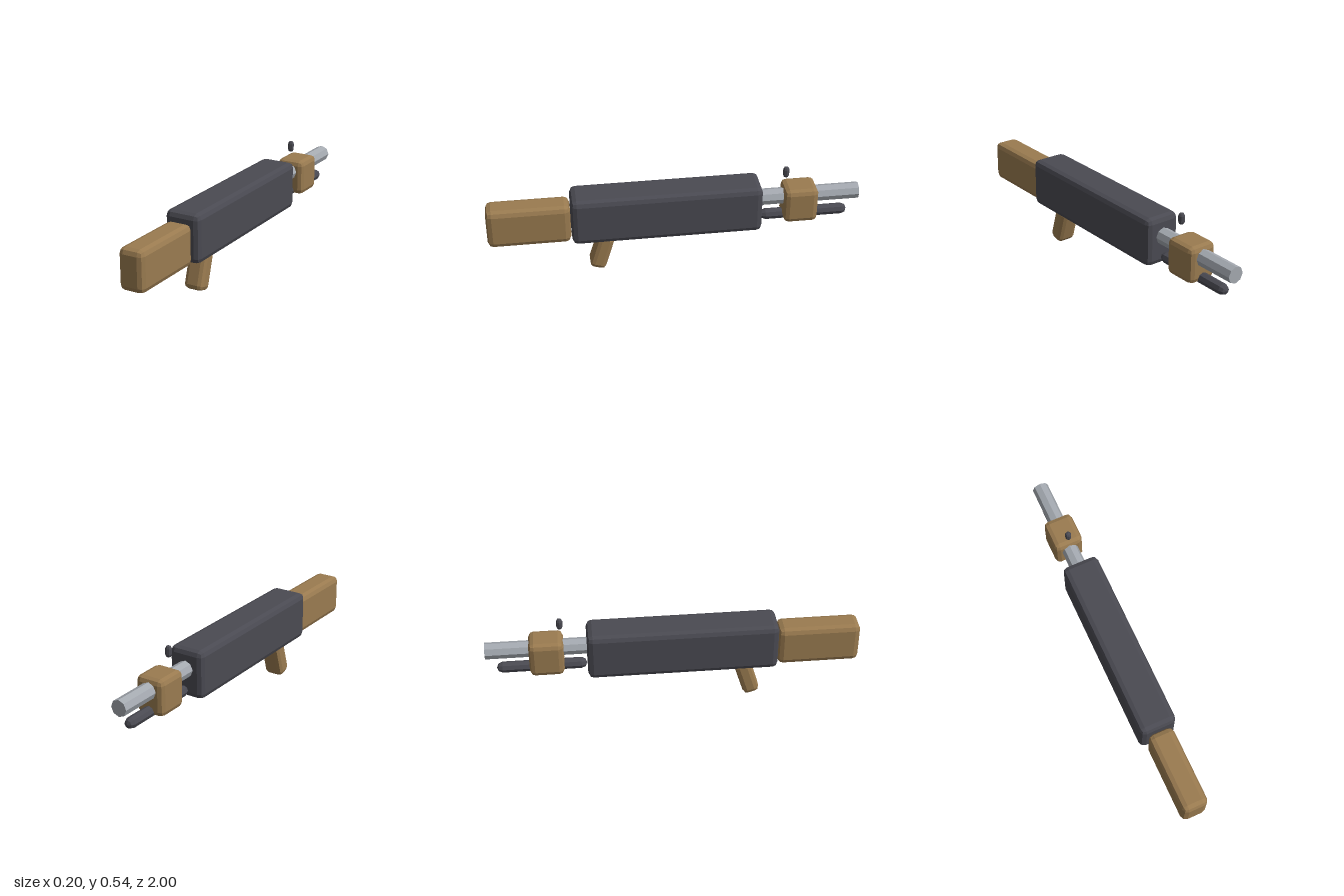
import * as THREE from 'three';
import { RoundedBoxGeometry } from 'three/addons/geometries/RoundedBoxGeometry.js';

const material = (color) => new THREE.MeshStandardMaterial({ color, flatShading: true });

export function createModel() {
  const model = new THREE.Group();
  const dark = material(0x4a4a52);
  const wood = material(0x9a7b50);
  const metal = material(0xa4a9b0);

  const add = (name, geometry, mat, y, z) => {
    const mesh = new THREE.Mesh(geometry, mat);
    mesh.name = name;
    mesh.position.set(0, y, z);
    model.add(mesh);
    return mesh;
  };
  // Box with two-facet bevels on every edge
  const block = (w, h, d, r) => new RoundedBoxGeometry(w, h, d, 1, r);
  // Eight-sided capsule, total length along y
  const capsule = (r, length) => new THREE.CapsuleGeometry(r, length - 2 * r, 2, 8);

  // Main body and shoulder stock
  add('receiver', block(0.2, 0.265, 1.018, 0.03), dark, 0.335, 0.046);
  add('stock', block(0.14, 0.222, 0.442, 0.03), wood, 0.314, 0.779);

  // Slanted hand grip
  add('grip', block(0.11, 0.21, 0.09, 0.025), wood, 0.108, 0.397).rotation.x = -0.3;

  // Barrel with its wooden fore-end and the rod below
  add('barrel', new THREE.CylinderGeometry(0.045, 0.045, 0.6, 8).rotateX(Math.PI / 2), metal, 0.361, -0.7);
  add('foreEnd', block(0.162, 0.198, 0.184, 0.028), wood, 0.326, -0.678);
  add('lowerRod', capsule(0.03, 0.48).rotateX(Math.PI / 2), dark, 0.249, -0.705);

  // Front sight
  add('frontSight', capsule(0.017, 0.065), dark, 0.508, -0.6);

  return model;
}
